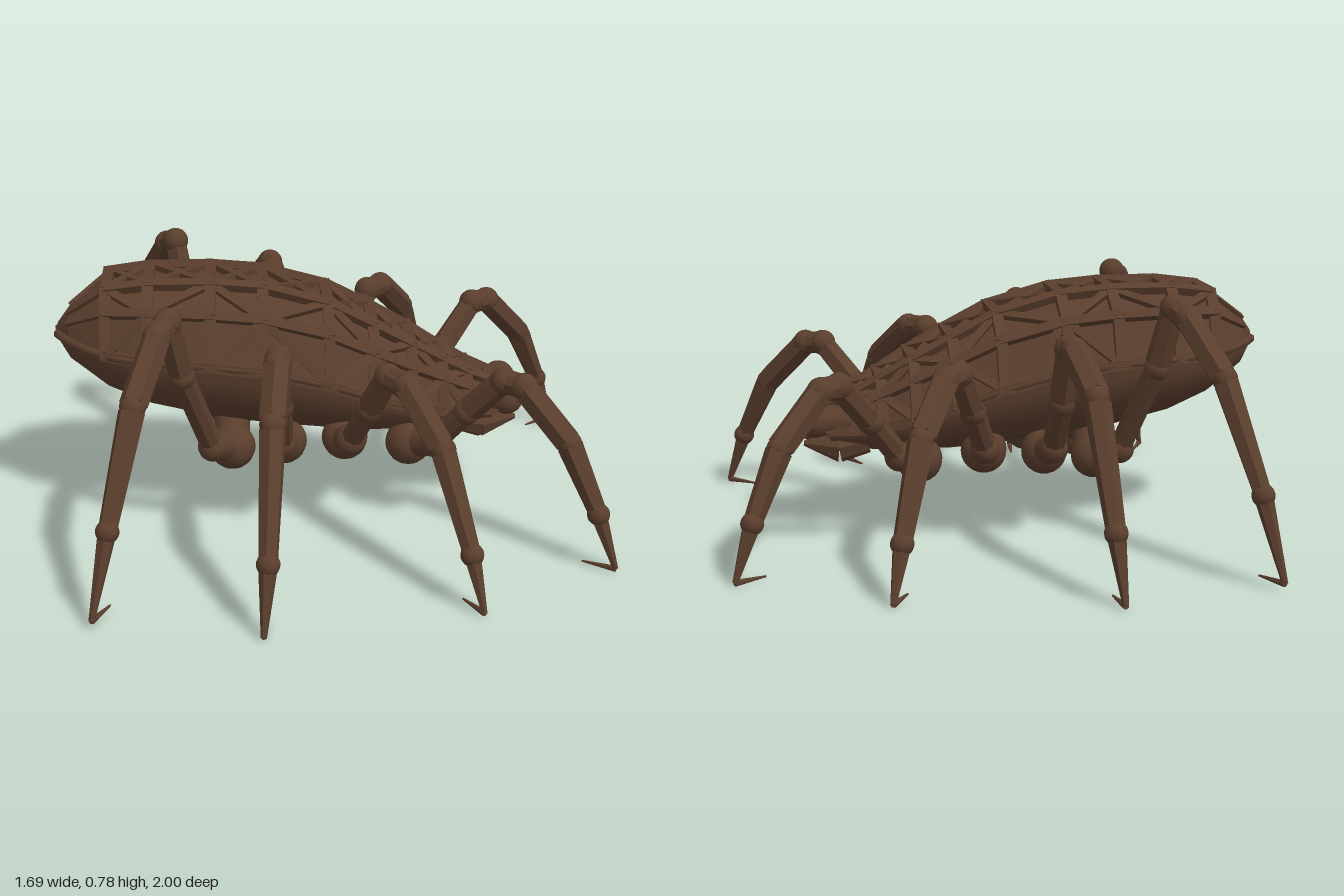
import * as THREE from 'three';

const V = (x, y, z) => new THREE.Vector3(x, y, z);

// Body stations: x, top height, seam height, half width, bottom height
const STATIONS = [
  [-0.84, 0.60, 0.575, 0.025, 0.555], [-0.80, 0.65, 0.57, 0.09, 0.49], [-0.68, 0.738, 0.56, 0.205, 0.405],
  [-0.55, 0.754, 0.555, 0.26, 0.35], [-0.36, 0.754, 0.545, 0.285, 0.305], [-0.2, 0.74, 0.525, 0.285, 0.28],
  [0, 0.685, 0.475, 0.275, 0.26], [0.14, 0.612, 0.42, 0.245, 0.25], [0.26, 0.546, 0.375, 0.205, 0.25],
  [0.36, 0.486, 0.345, 0.16, 0.25], [0.44, 0.44, 0.335, 0.138, 0.255], [0.52, 0.405, 0.33, 0.115, 0.265],
];

function stationAt(x) {
  let i = 0;
  while (i < STATIONS.length - 2 && STATIONS[i + 1][0] < x) i++;
  const [a, b] = [STATIONS[i], STATIONS[i + 1]];
  const t = THREE.MathUtils.clamp((x - a[0]) / (b[0] - a[0]), 0, 1);
  return a.map((v, k) => v + (b[k] - v) * t);
}

// Faceted back section, from one seam over the top to the other
function backRow(x, inset = 0) {
  const [, top, seam, w] = stationAt(x);
  const h = (top - seam) * (1 - inset), W = w * (1 - inset * 0.6);
  const half = [[W, seam], [W * 0.77, seam + h * 0.68], [Math.min(0.11, W * 0.5), seam + h]];
  return [...half.map(([z, y]) => V(x, y, z)), ...half.reverse().map(([z, y]) => V(x, y, -z))];
}

// Rounded belly section, from one seam under the body to the other
function bellyRow(x) {
  const [, , seam, w, bottom] = stationAt(x);
  return Array.from({ length: 17 }, (_, i) => {
    const a = Math.PI * (1 + i / 16);
    return V(x, seam + Math.sin(a) * (seam - bottom), Math.cos(a) * w);
  });
}

function skin(rows, flat) {
  const n = rows[0].length, index = [];
  for (let i = 0; i < rows.length - 1; i++) {
    for (let j = 0; j < n - 1; j++) {
      const a = i * n + j, b = a + n;
      index.push(a, b, a + 1, b, b + 1, a + 1);
    }
  }
  let g = new THREE.BufferGeometry().setFromPoints(rows.flat());
  g.setIndex(index);
  if (flat) g = g.toNonIndexed();
  g.computeVertexNormals();
  return g;
}

export function createModel() {
  const model = new THREE.Group();
  model.name = 'mechanicalSpider';
  const brown = new THREE.MeshStandardMaterial({ color: 0x5a3e2d, side: THREE.DoubleSide });

  const add = (parent, name, geometry, pos) => {
    const m = new THREE.Mesh(geometry, brown);
    m.name = name;
    if (pos) m.position.copy(pos);
    parent.add(m);
    return m;
  };
  const ball = (parent, name, p, r) => add(parent, name, new THREE.SphereGeometry(r, 16, 12), p);

  // Tapered rod between two points, faceted when it has few sides
  const rod = (parent, name, a, b, r1, r2, sides = 12) => {
    let g = new THREE.CylinderGeometry(r2, r1, a.distanceTo(b), sides);
    if (sides < 10) { g = g.toNonIndexed(); g.computeVertexNormals(); }
    const m = add(parent, name, g, a.clone().lerp(b, 0.5));
    m.quaternion.setFromUnitVectors(V(0, 1, 0), b.clone().sub(a).normalize());
  };

  // Flat bar lying on the body surface
  const bar = (parent, name, a, b, width, thick) => {
    const dir = b.clone().sub(a).normalize();
    const mid = a.clone().lerp(b, 0.5);
    const out = mid.clone().sub(V(mid.x, stationAt(mid.x)[2] - 0.03, 0));
    out.addScaledVector(dir, -out.dot(dir)).normalize();
    const m = add(parent, name, new THREE.BoxGeometry(width, a.distanceTo(b) + width * 0.5, thick), mid);
    m.quaternion.setFromRotationMatrix(new THREE.Matrix4().makeBasis(dir.clone().cross(out), dir, out));
  };

  // Body shells
  const body = new THREE.Group();
  body.name = 'body';
  model.add(body);
  const xs = STATIONS.map((s) => s[0]);
  add(body, 'backShell', skin(xs.map((x) => backRow(x, x > -0.7 ? 0.06 : 0.01)), true));
  add(body, 'belly', skin(xs.map(bellyRow), false));
  const end = [...backRow(0.52, 0.05), ...bellyRow(0.52)];
  add(body, 'frontWall', skin([end, end.map(() => V(0.52, 0.34, 0))], true));
  const tail = [...backRow(-0.84), ...bellyRow(-0.84)];
  add(body, 'tailCap', skin([tail.map(() => V(-0.845, 0.575, 0)), tail], true));

  // Seam rim
  for (const s of [1, -1]) {
    const path = new THREE.CatmullRomCurve3(STATIONS.map(([x, , y, w]) => V(x, y, s * w)));
    add(body, 'seamRim', new THREE.TubeGeometry(path, 48, 0.014, 6));
  }

  // Lattice of stringers, ribs and diagonals, with its corners on the shell stations
  const lattice = new THREE.Group();
  lattice.name = 'lattice';
  body.add(lattice);
  const ribs = [-0.68, -0.55, -0.36, -0.2, 0, 0.14, 0.26, 0.36, 0.44, 0.52].map((x) => backRow(x));
  ribs.forEach((row, i) => {
    for (let j = 0; j < 5; j++) bar(lattice, 'rib', row[j], row[j + 1], 0.034, 0.024);
    const next = ribs[i + 1];
    if (!next) return;
    for (let j = 0; j < 6; j++) bar(lattice, 'stringer', row[j], next[j], 0.03, 0.026);
    if (i > 7) return;
    bar(lattice, 'brace', row[2], next[3], 0.025, 0.018);
    bar(lattice, 'brace', row[3], next[2], 0.025, 0.018);
    for (const [lo, hi] of [[0, 1], [1, 2], [5, 4], [4, 3]]) {
      const up = (i + lo) % 2 === (lo > 2 ? 1 : 0);
      bar(lattice, 'brace', row[up ? lo : hi], next[up ? hi : lo], 0.025, 0.018);
    }
  });
  // Tail ridges
  const tip = backRow(-0.8);
  for (const j of [1, 2, 3, 4]) bar(lattice, 'tailRidge', tip[j], ribs[0][j], 0.02, 0.012);

  // Head with eyes, jaws and fangs
  const head = new THREE.Group();
  head.name = 'head';
  model.add(head);
  add(head, 'headBlock', new THREE.BoxGeometry(0.1, 0.11, 0.15), V(0.49, 0.325, 0));
  for (const s of [1, -1]) {
    rod(head, 'eyeSocket', V(0.46, 0.36, s * 0.08), V(0.56, 0.36, s * 0.095), 0.05, 0.042);
    ball(head, 'eye', V(0.565, 0.362, s * 0.095), 0.053);
    rod(head, 'jaw', V(0.4, 0.29, s * 0.075), V(0.49, 0.275, s * 0.068), 0.038, 0.052, 8);
    rod(head, 'fang', V(0.49, 0.275, s * 0.068), V(0.6, 0.284, s * 0.058), 0.052, 0.008, 8);
  }

  // Leg joints: hip, trochanter, thigh joint, knee, shin top, shin bend, ankle, toe
  const LEGS = {
    frontLeg: [[0.25, 0.245, 0.16], [0.32, 0.275, 0.245], [0.41, 0.4, 0.315], [0.51, 0.525, 0.385], [0.565, 0.52, 0.425], [0.69, 0.375, 0.515], [0.775, 0.175, 0.585], [0.828, 0.012, 0.618]],
    foreMiddleLeg: [[0.05, 0.27, 0.17], [0.06, 0.295, 0.27], [0.11, 0.43, 0.36], [0.16, 0.56, 0.43], [0.21, 0.555, 0.5], [0.3, 0.425, 0.67], [0.372, 0.165, 0.82], [0.404, 0.012, 0.88]],
    rearMiddleLeg: [[-0.14, 0.26, 0.17], [-0.15, 0.29, 0.275], [-0.155, 0.45, 0.38], [-0.16, 0.63, 0.45], [-0.165, 0.635, 0.52], [-0.185, 0.54, 0.74], [-0.205, 0.2, 0.925], [-0.22, 0.012, 0.99]],
    rearLeg: [[-0.3, 0.24, 0.16], [-0.36, 0.28, 0.26], [-0.445, 0.55, 0.375], [-0.48, 0.74, 0.43], [-0.51, 0.715, 0.49], [-0.575, 0.57, 0.665], [-0.648, 0.265, 0.83], [-0.697, 0.025, 0.9]],
  };
  for (const [name, joints] of Object.entries(LEGS)) {
    for (const s of [1, -1]) {
      const leg = new THREE.Group();
      leg.name = name;
      model.add(leg);
      const [hip, troch, thigh, knee, shin, bend, ankle, toe] = joints.map(([x, y, z]) => V(x, y, s * z));
      const at = (a, b, t) => a.clone().lerp(b, t);
      rod(leg, 'coxa', V(hip.x, 0.31, s * 0.08), hip, 0.055, 0.055);
      ball(leg, 'hip', hip, 0.072);
      rod(leg, 'trochanter', hip, troch, 0.052, 0.042);
      ball(leg, 'trochanterJoint', troch, 0.046);
      rod(leg, 'lowerThigh', troch, thigh, 0.036, 0.036, 8);
      ball(leg, 'thighJoint', thigh, 0.04);
      rod(leg, 'upperThigh', at(thigh, knee, 0.1), knee, 0.04, 0.037, 6);
      ball(leg, 'kneeJoint', knee, 0.042);
      rod(leg, 'kneeLink', knee, shin, 0.038, 0.038, 8);
      ball(leg, 'shinJoint', shin, 0.042);
      // Shin in two plated sections around a bent collar
      rod(leg, 'upperShin', at(shin, bend, 0.04), at(bend, shin, 0.03), 0.042, 0.042, 6);
      ball(leg, 'shinBend', bend, 0.038);
      rod(leg, 'lowerShin', at(bend, ankle, 0.04), ankle, 0.04, 0.028, 6);
      ball(leg, 'ankle', ankle, 0.034);
      rod(leg, 'foot', ankle, toe, 0.028, 0.009, 6);
      // Claw reaching back towards the body
      const back = V(shin.x - toe.x, 0, shin.z - toe.z).normalize();
      rod(leg, 'claw', toe, toe.clone().addScaledVector(back, 0.11).setY(toe.y - 0.003), 0.01, 0.003, 6);
    }
  }
  return model;
}
